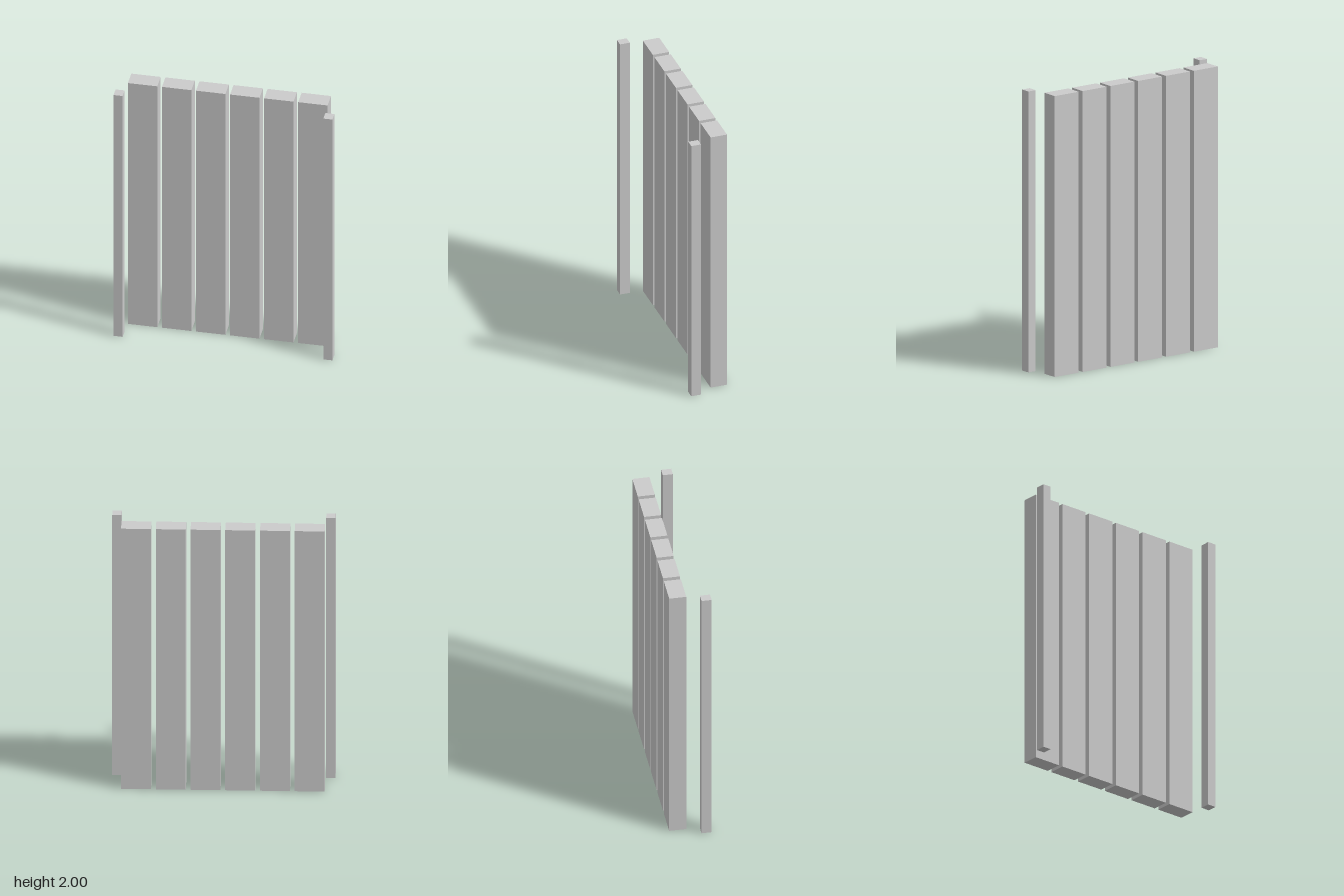
import * as THREE from 'three';

export function createModel() {
  const model = new THREE.Group();
  const material = new THREE.MeshStandardMaterial({ color: 0xcccccc, flatShading: true });
  const height = 2;

  // Upright standing on y = 0
  function addUpright(name, width, depth, x, z) {
    const mesh = new THREE.Mesh(new THREE.BoxGeometry(width, height, depth), material);
    mesh.name = name;
    mesh.position.set(x, height / 2, z);
    model.add(mesh);
  }

  // Row of six evenly spaced boards at the back
  const boards = 6, pitch = 0.24;
  for (let i = 0; i < boards; i++) {
    addUpright(`board${i + 1}`, 0.207, 0.12, (i - (boards - 1) / 2) * pitch, -0.083);
  }

  // Slim posts in front of the two outer edges
  addUpright('leftPost', 0.064, 0.071, 0.739, 0.107);
  addUpright('rightPost', 0.064, 0.071, -0.739, 0.107);

  return model;
}
